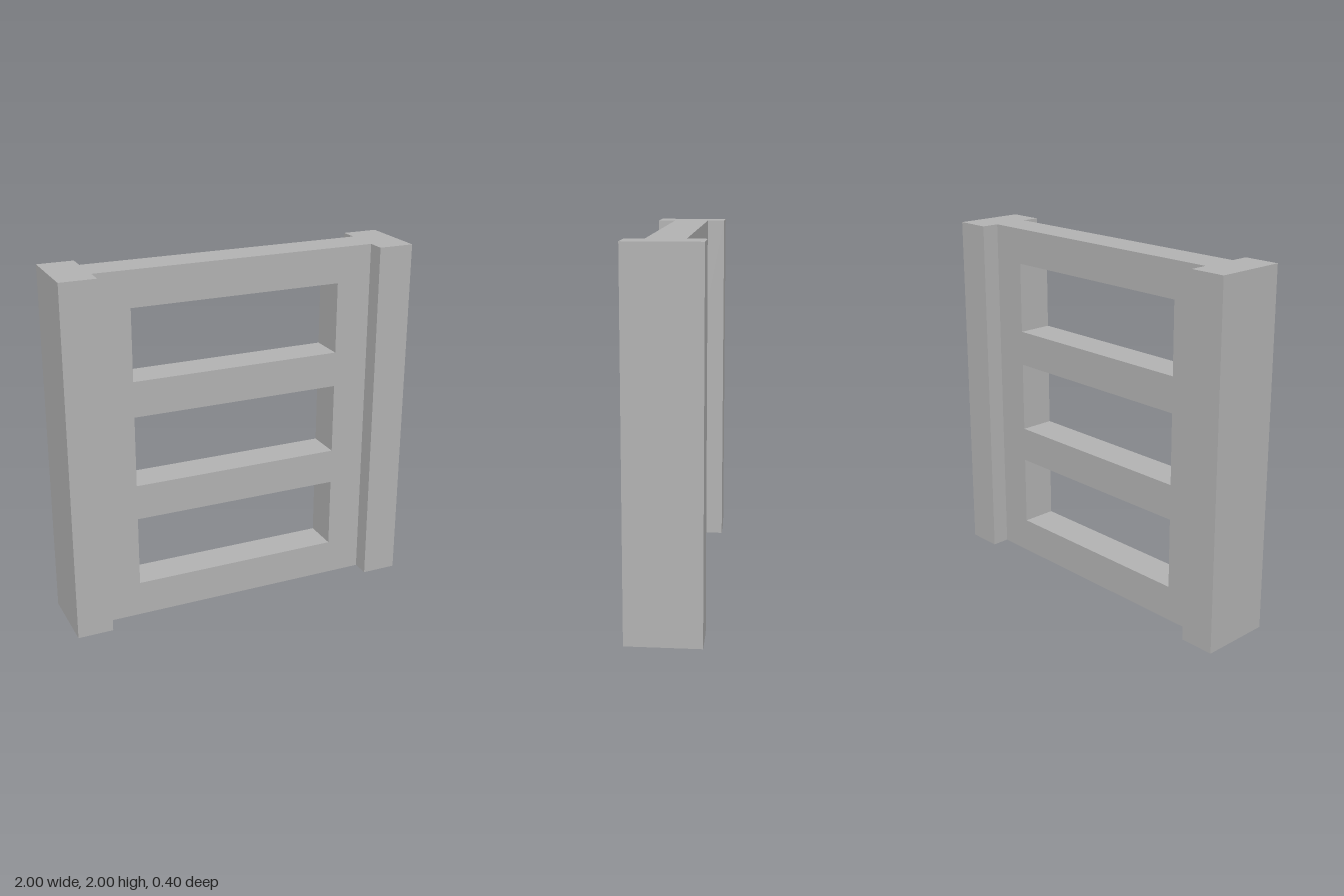
import * as THREE from 'three';

// Closed rectangle outline from its corners
function rect(target, x0, y0, x1, y1) {
  target.moveTo(x0, y0);
  target.lineTo(x1, y0);
  target.lineTo(x1, y1);
  target.lineTo(x0, y1);
  target.closePath();
  return target;
}

export function createModel() {
  const group = new THREE.Group();
  group.name = 'slottedFrame';

  const grey = new THREE.MeshStandardMaterial({ color: 0xb2b2b2 });
  grey.name = 'grey';

  // Side posts
  for (const [name, side] of [['leftPost', 1], ['rightPost', -1]]) {
    const post = new THREE.Mesh(new THREE.BoxGeometry(0.2, 2, 0.4), grey);
    post.name = name;
    post.position.set(side * 0.9, 1, 0);
    group.add(post);
  }

  // Thinner panel between the posts, with three window openings
  const outline = rect(new THREE.Shape(), -0.8, 0, 0.8, 2);
  for (let i = 0; i < 3; i++) {
    const y = 0.2 + i * 0.6;
    outline.holes.push(rect(new THREE.Path(), -0.6, y, 0.6, y + 0.4));
  }
  const panelGeometry = new THREE.ExtrudeGeometry(outline, { depth: 0.2, bevelEnabled: false });
  panelGeometry.translate(0, 0, -0.1);
  const panel = new THREE.Mesh(panelGeometry, grey);
  panel.name = 'railPanel';
  group.add(panel);

  return group;
}
